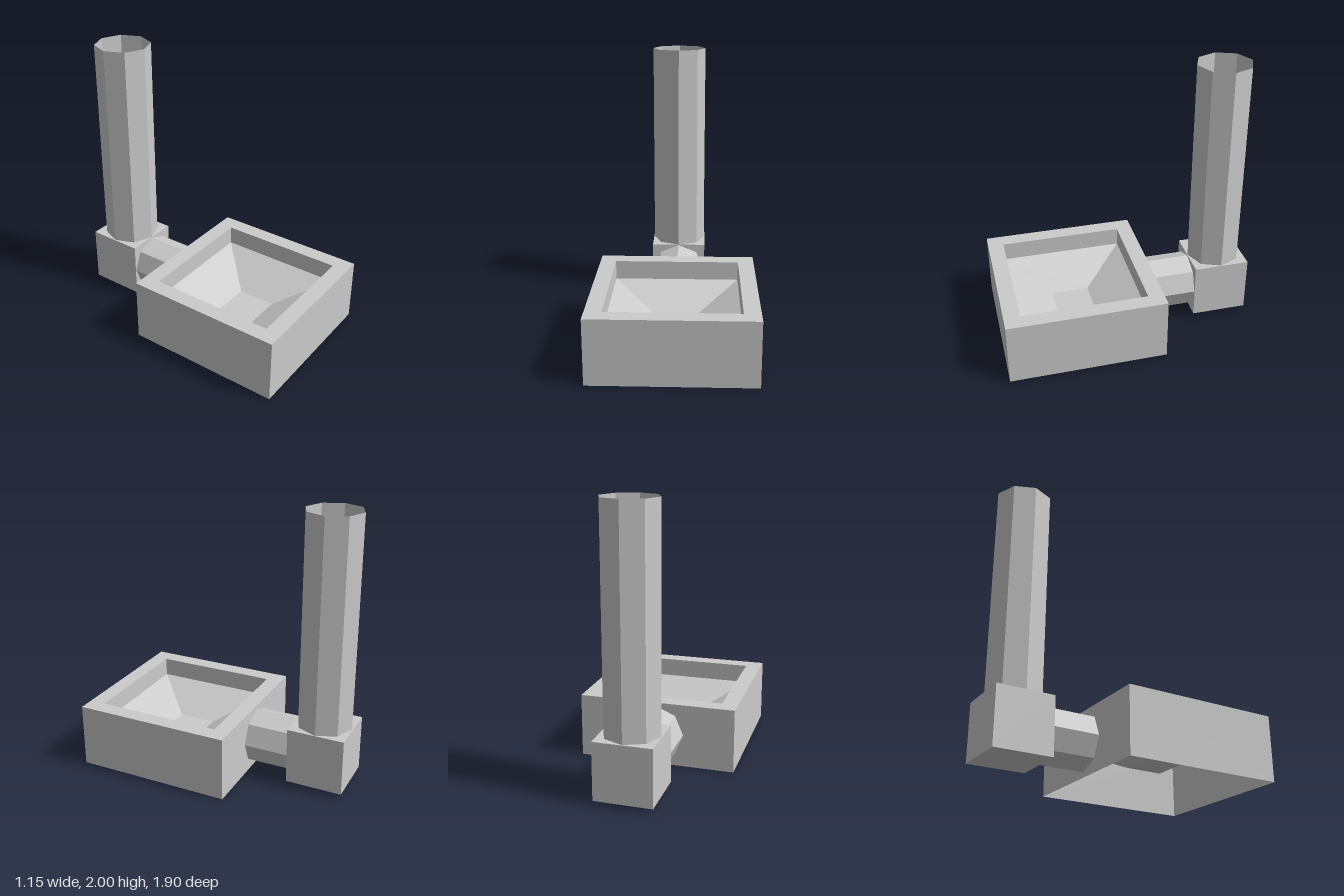
import * as THREE from 'three';

const grey = new THREE.MeshStandardMaterial({ color: 0xcccccc, flatShading: true });
const greyOpen = new THREE.MeshStandardMaterial({ color: 0xcccccc, flatShading: true, side: THREE.DoubleSide });

function part(name, geometry, material, x, y, z) {
  const mesh = new THREE.Mesh(geometry, material);
  mesh.name = name;
  mesh.position.set(x, y, z);
  return mesh;
}

// Open eight-sided tube along y
const tube = (radius, length) => new THREE.CylinderGeometry(radius, radius, length, 8, 1, true);

// Square shell: a four-sided lathe through [half width, height] pairs
function squareShell(profile) {
  const points = profile.map(([half, y]) => new THREE.Vector2(half * Math.SQRT2, y));
  return new THREE.LatheGeometry(points, 4, Math.PI / 4).toNonIndexed();
}

export function createModel() {
  const model = new THREE.Group();
  model.name = 'bowlAndPipe';

  // Basin: outer walls open underneath, flat rim, short inner wall, sloping sides and floor
  const basin = squareShell([
    [0.577, 0], [0.577, 0.47], [0.46, 0.47], [0.46, 0.33], [0.14, 0.17], [0, 0.17],
  ]);
  model.add(part('basin', basin, greyOpen, 0, 0, 0.373));

  // Horizontal pipe from the basin to the joint block
  const connector = part('connectorPipe', tube(0.203, 0.33), greyOpen, 0, 0.24, -0.369);
  connector.rotation.x = Math.PI / 2;
  model.add(connector);

  // Joint block
  model.add(part('jointBlock', new THREE.BoxGeometry(0.416, 0.416, 0.416), grey, 0, 0.24, -0.742));

  // Upright pipe, open at the top
  model.add(part('uprightPipe', tube(0.203, 1.552), greyOpen, 0, 1.224, -0.739));

  return model;
}
